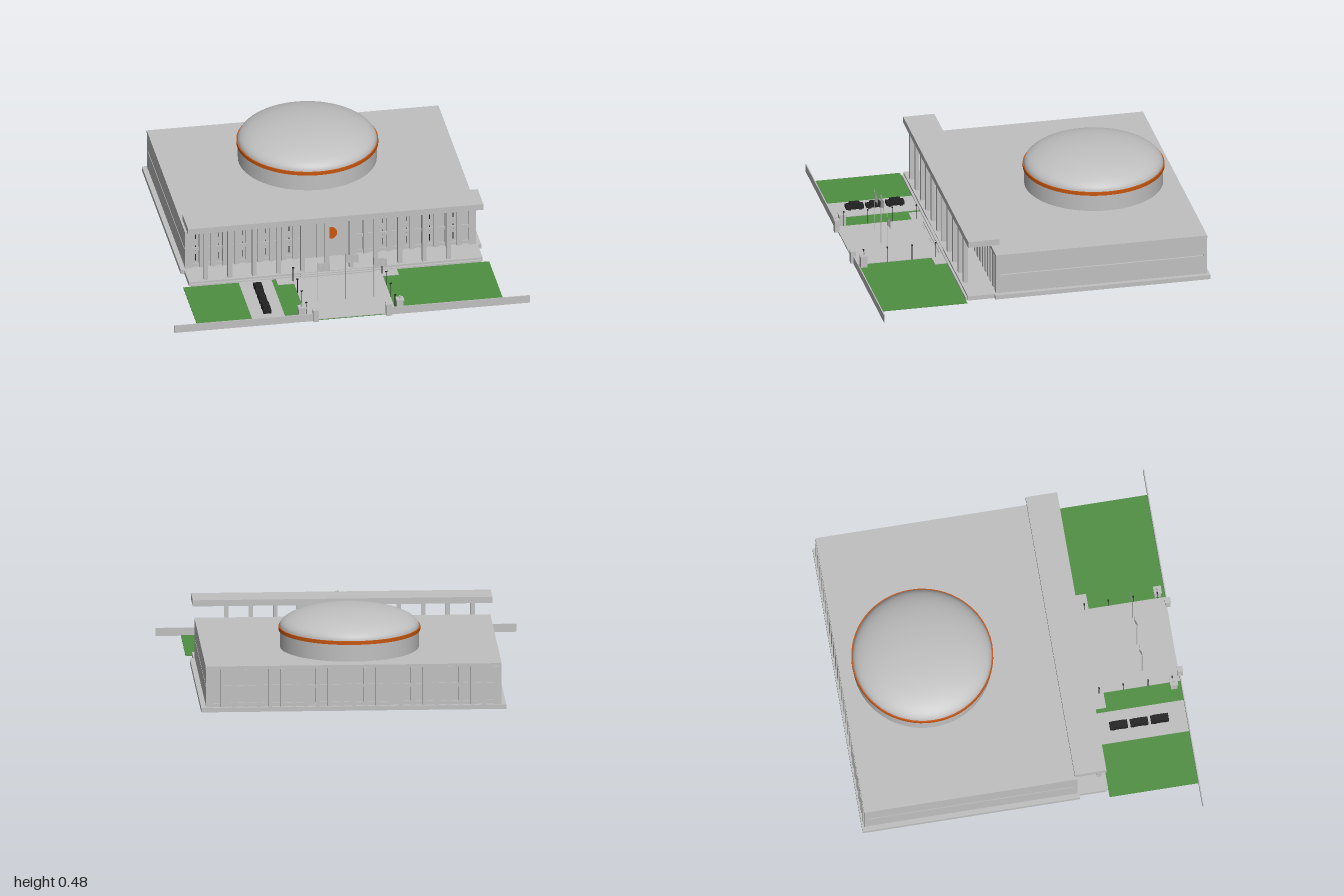
import * as THREE from 'three';

export function createModel() {
  const model = new THREE.Group();
  const mat = (name, color, side = THREE.FrontSide) => {
    const m = new THREE.MeshStandardMaterial({ color, side });
    m.name = name;
    return m;
  };
  const stone = mat('pale stone', 0xc0c0c0);
  const grass = mat('lawn green', 0x4f8f42);
  const orange = mat('orange trim', 0xc8560f);
  const black = mat('black', 0x222222);

  const add = (name, geometry, material, x = 0, y = 0, z = 0, parent = model) => {
    const mesh = new THREE.Mesh(geometry, material);
    mesh.name = name;
    mesh.position.set(x, y, z);
    parent.add(mesh);
    return mesh;
  };
  // Box given by its extents on each axis
  const box = (name, x0, x1, y0, y1, z0, z1, material = stone, parent = model) =>
    add(name, new THREE.BoxGeometry(x1 - x0, y1 - y0, z1 - z0), material,
      (x0 + x1) / 2, (y0 + y1) / 2, (z0 + z1) / 2, parent);
  const rod = (name, r, x, y0, y1, z, material, sides = 8) =>
    add(name, new THREE.CylinderGeometry(r, r, y1 - y0, sides), material, x, (y0 + y1) / 2, z);

  // Plinth, porch floor and entrance steps
  box('plinth', -0.845, 0.845, 0, 0.025, -0.95, 0.27);
  box('porchFloor', -0.825, 0.825, 0, 0.025, 0.27, 0.42);
  box('porchStep', -0.815, 0.815, 0, 0.014, 0.42, 0.432);
  for (let i = 0; i < 3; i++) {
    box('entranceStep', -0.2, 0.2, 0, 0.021 - i * 0.006, 0.42, 0.435 + i * 0.012);
  }

  // Main hall with recessed front and back walls
  box('hallWalls', -0.805, 0.805, 0.025, 0.245, -0.915, 0.238);
  box('hallRoof', -0.82, 0.82, 0.24, 0.257, -0.937, 0.26);
  for (const s of [-1, 1]) {
    // Side wall bands with a shadow gap between them
    for (const [y0, y1] of [[0.025, 0.132], [0.14, 0.24]]) {
      box('sideBand', s * 0.811 - 0.006, s * 0.811 + 0.006, y0, y1, -0.915, 0.238);
    }
    for (const z of [-0.926, 0.249]) {
      box('cornerPier', s * 0.805 - 0.013, s * 0.805 + 0.013, 0.025, 0.24, z - 0.011, z + 0.011);
    }
  }

  // Front and back fins, spandrels and narrow window slots
  const bays = 24, pitch = 1.58 / bays;
  for (let i = 0; i <= bays; i++) {
    const x = -0.79 + i * pitch;
    box('backFin', x - 0.012, x + 0.012, 0.025, 0.24, -0.94, -0.915);
    if (Math.abs(x) > 0.15) box('frontFin', x - 0.014, x + 0.014, 0.025, 0.24, 0.238, 0.258);
  }
  for (let i = 0; i < bays; i += 2) {
    const x = -0.79 + (i + 0.5) * pitch;
    if (Math.abs(x) < 0.18) continue;
    for (const [y0, y1] of [[0.06, 0.1], [0.12, 0.155], [0.195, 0.235]]) {
      box('windowSlot', x - 0.002, x + 0.002, y0, y1, 0.238, 0.24, black);
    }
  }
  for (const y of [0.035, 0.135]) {
    box('backSpandrel', -0.8, 0.8, y - 0.01, y + 0.01, -0.925, -0.915);
    box('frontSpandrel', -0.8, 0.8, y - 0.01, y + 0.01, 0.238, 0.245);
  }

  // Entrance panel with round emblem plate
  box('entrancePanel', -0.15, 0.15, 0.025, 0.24, 0.238, 0.254);
  for (const x of [-0.11, -0.07, 0.07, 0.11]) box('entrancePier', x - 0.008, x + 0.008, 0.025, 0.24, 0.254, 0.26);
  add('emblemDisc', new THREE.CylinderGeometry(0.035, 0.035, 0.009, 32), orange, 0, 0.175, 0.262)
    .rotation.x = Math.PI / 2;

  // Free-standing canopy on a row of columns
  box('canopy', -0.83, 0.83, 0.325, 0.36, 0.243, 0.42);
  for (let i = 0; i < 11; i++) {
    const x = -0.728 + i * 0.1365;
    box('canopyColumn', x - 0.012, x + 0.012, 0.025, 0.325, 0.382, 0.406);
  }

  // Drum, orange ring and shallow dome
  const dome = new THREE.Group();
  dome.name = 'domeAssembly';
  dome.position.z = -0.475;
  model.add(dome);
  add('drum', new THREE.CylinderGeometry(0.385, 0.385, 0.1, 64), stone, 0, 0.306, 0, dome);
  add('domeRing', new THREE.CylinderGeometry(0.393, 0.393, 0.02, 64), orange, 0, 0.364, 0, dome);
  const profile = [];
  for (let i = 0; i <= 16; i++) {
    const a = (i / 16) * Math.PI / 2;
    profile.push(new THREE.Vector2(0.386 * Math.cos(a), 0.374 + 0.109 * Math.sin(a)));
  }
  profile[16].x = 0;
  add('domeShell', new THREE.LatheGeometry(profile, 64), stone, 0, 0, 0, dome);

  // Lawn, forecourt and driveway
  box('lawn', -0.86, 0.86, 0, 0.004, 0.5, 0.93, grass);
  for (const [a, b] of [[-0.86, -0.34], [0.34, 0.86]]) box('lawnSide', a, b, 0, 0.004, 0.432, 0.5, grass);
  box('forecourtApron', -0.34, 0.34, 0, 0.008, 0.432, 0.5);
  box('forecourt', -0.25, 0.25, 0.003, 0.008, 0.5, 0.93);
  box('driveway', -0.55, -0.365, 0.003, 0.008, 0.432, 0.93);

  // Parked cars
  [[0.55, 0.046], [0.665, 0.04], [0.78, 0.046]].forEach(([z, h]) => {
    const car = new THREE.Group();
    car.name = 'car';
    car.position.set(-0.457, 0, z);
    model.add(car);
    box('carBody', -0.022, 0.022, 0.013, h - 0.012, -0.05, 0.05, black, car);
    box('carCabin', -0.019, 0.019, h - 0.012, h, -0.03, 0.028, black, car);
    for (const x of [-0.018, 0.018]) for (const wz of [-0.032, 0.032]) {
      add('wheel', new THREE.CylinderGeometry(0.01, 0.01, 0.008, 12), black, x, 0.015, wz, car)
        .rotation.z = Math.PI / 2;
    }
  });

  // Flagpoles with waving flags
  const flagGeometry = new THREE.PlaneGeometry(0.072, 0.05, 12, 1);
  const p = flagGeometry.attributes.position;
  for (let i = 0; i < p.count; i++) {
    const t = p.getX(i) + 0.036;
    p.setZ(i, 0.005 * Math.sin(t * 90));
    p.setY(i, p.getY(i) - t * 0.15);
  }
  flagGeometry.computeVertexNormals();
  const cloth = mat('flag cloth', 0xc0c0c0, THREE.DoubleSide);
  for (const [x, top] of [[-0.16, 0.255], [0, 0.295], [0.16, 0.255]]) {
    rod('flagpole', 0.0025, x, 0.006, top, 0.73, stone);
    add('flag', flagGeometry, cloth, x + 0.036, top - 0.03, 0.73);
  }

  for (const s of [-1, 1]) {
    // Street lamps along the forecourt
    for (const z of [0.475, 0.61, 0.75, 0.885]) {
      rod('lampPost', 0.002, s * 0.25, 0.006, 0.092, z, black);
      add('lampHead', new THREE.BoxGeometry(0.012, 0.005, 0.007), black, s * 0.25, 0.093, z);
    }
    // Guard booths
    box('guardBooth', s * 0.275 - 0.018, s * 0.275 + 0.018, 0, 0.066, 0.872, 0.908);
    box('boothRoof', s * 0.275 - 0.022, s * 0.275 + 0.022, 0.066, 0.073, 0.868, 0.912);
    rod('boothFinial', 0.004, s * 0.275, 0.073, 0.092, 0.89, stone);
    // Gate posts and boundary wall
    box('gatePost', s * 0.205 - 0.015, s * 0.205 + 0.015, 0, 0.068, 0.922, 0.95);
    box('gatePostCap', s * 0.205 - 0.017, s * 0.205 + 0.017, 0.068, 0.073, 0.92, 0.952);
    box('boundaryWall', s * 0.61 - 0.39, s * 0.61 + 0.39, 0, 0.045, 0.93, 0.936);
  }
  return model;
}
